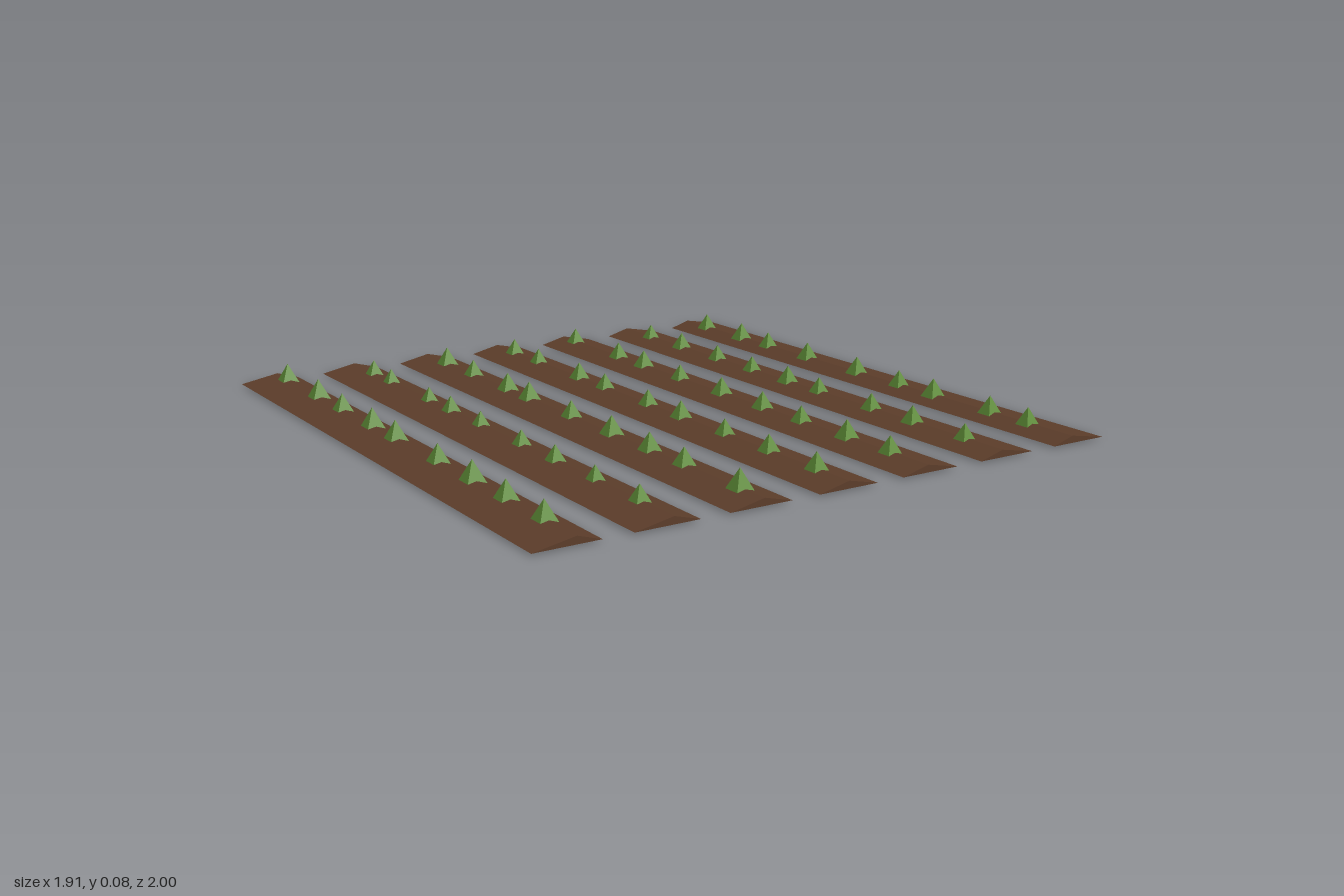
import * as THREE from 'three';

// Plant positions (z) along each furrow, from left column to right column
const ROWS = [
  { size: 1.08, z: [-0.90, -0.63, -0.435, -0.205, -0.04, 0.24, 0.45, 0.64, 0.84] },
  { size: 0.94, z: [-0.83, -0.69, -0.40, -0.245, -0.045, 0.21, 0.405, 0.62, 0.84] },
  { size: 1.06, z: [-0.84, -0.64, -0.395, -0.25, 0.015, 0.25, 0.455, 0.63, 0.89] },
  { size: 1.0, z: [-0.865, -0.69, -0.41, -0.245, 0.015, 0.20, 0.43, 0.645, 0.86] },
  { size: 1.03, z: [-0.91, -0.61, -0.445, -0.22, 0.02, 0.24, 0.435, 0.65, 0.84] },
  { size: 1.0, z: [-0.83, -0.625, -0.40, -0.195, 0.005, 0.17, 0.43, 0.62, 0.845] },
  { size: 1.04, z: [-0.865, -0.64, -0.475, -0.245, 0.025, 0.24, 0.405, 0.66, 0.82] },
];
const BASE_Y = 0.006, RIDGE_Y = 0.028, HALF_WIDTH = 0.098, LENGTH = 2;
const PLANT_HEIGHT = 0.074, PLANT_HALF = 0.034;

// Long soil ridge with a triangular section
function ridgeGeometry(centreX, peakX) {
  const section = new THREE.Shape([
    new THREE.Vector2(centreX - HALF_WIDTH, BASE_Y),
    new THREE.Vector2(centreX + HALF_WIDTH, BASE_Y),
    new THREE.Vector2(peakX, RIDGE_Y),
  ]);
  return new THREE.ExtrudeGeometry(section, { depth: LENGTH, bevelEnabled: false })
    .translate(0, 0, -LENGTH / 2);
}

export function createModel() {
  const soil = new THREE.MeshStandardMaterial({ color: 0x5c3d2a, flatShading: true });
  soil.name = 'soil brown';
  const leaf = new THREE.MeshStandardMaterial({
    color: 0x5e8c37, flatShading: true, side: THREE.DoubleSide,
  });
  leaf.name = 'leaf green';

  // Open four-sided sprout standing on the ground, sides along x and z
  const sproutGeometry = new THREE.ConeGeometry(PLANT_HALF * Math.SQRT2, PLANT_HEIGHT, 4, 1, true)
    .rotateY(Math.PI / 4)
    .translate(0, PLANT_HEIGHT / 2, 0);

  const model = new THREE.Group();
  model.name = 'cropField';
  ROWS.forEach((row, i) => {
    const k = i - 3;
    const peakX = k * 0.277;
    const furrow = new THREE.Group();
    furrow.name = `cropRow${i + 1}`;

    const ridge = new THREE.Mesh(ridgeGeometry(k * 0.286, peakX), soil);
    ridge.name = 'soilRidge';
    furrow.add(ridge);

    row.z.forEach((z, j) => {
      const sprout = new THREE.Mesh(sproutGeometry, leaf);
      sprout.name = 'sprout';
      sprout.position.set(peakX, 0, z);
      // Slight size variation along the row
      sprout.scale.setScalar(row.size * (1 + 0.04 * Math.sin(j * 2.3 + i)));
      furrow.add(sprout);
    });
    model.add(furrow);
  });
  return model;
}
